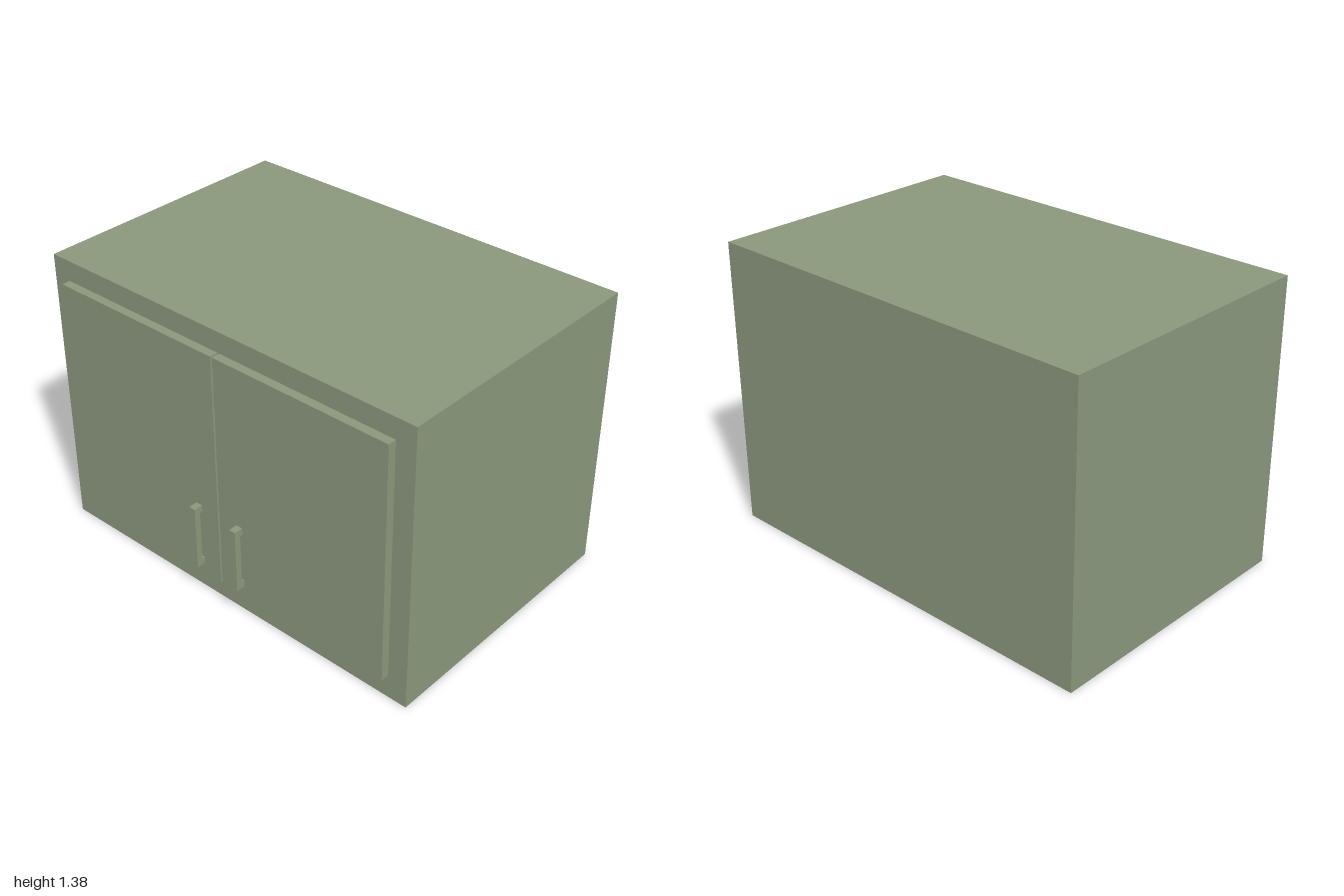
import * as THREE from 'three';

export function createModel() {
  const group = new THREE.Group();
  group.name = 'wallCabinet';
  const sage = new THREE.MeshStandardMaterial({ color: 0x8a977c });
  sage.name = 'sage green paint';

  // Box given by its minimum and maximum on each axis
  const box = (parent, name, [x0, x1], [y0, y1], [z0, z1]) => {
    const mesh = new THREE.Mesh(new THREE.BoxGeometry(x1 - x0, y1 - y0, z1 - z0), sage);
    mesh.position.set((x0 + x1) / 2, (y0 + y1) / 2, (z0 + z1) / 2);
    mesh.name = name;
    parent.add(mesh);
  };

  const front = 0.617, doorFace = 0.658, barBack = 0.672, barFront = 0.702;

  // Carcass
  box(group, 'cabinetBody', [-1, 1], [0, 1.376], [-0.702, front]);

  // Doors with bar handles near the meeting edge
  const doors = [
    { side: 'right', x: [-0.908, -0.01], handle: [-0.139, -0.106] },
    { side: 'left', x: [0, 0.904], handle: [0.101, 0.134] },
  ];
  for (const { side, x, handle } of doors) {
    box(group, `${side}Door`, x, [0.117, 1.278], [front, doorFace]);

    const pull = new THREE.Group();
    pull.name = `${side}Handle`;
    box(pull, 'handleBar', handle, [0.179, 0.495], [barBack, barFront]);
    box(pull, 'lowerPost', handle, [0.179, 0.213], [doorFace, barBack]);
    box(pull, 'upperPost', handle, [0.461, 0.495], [doorFace, barBack]);
    group.add(pull);
  }
  return group;
}
